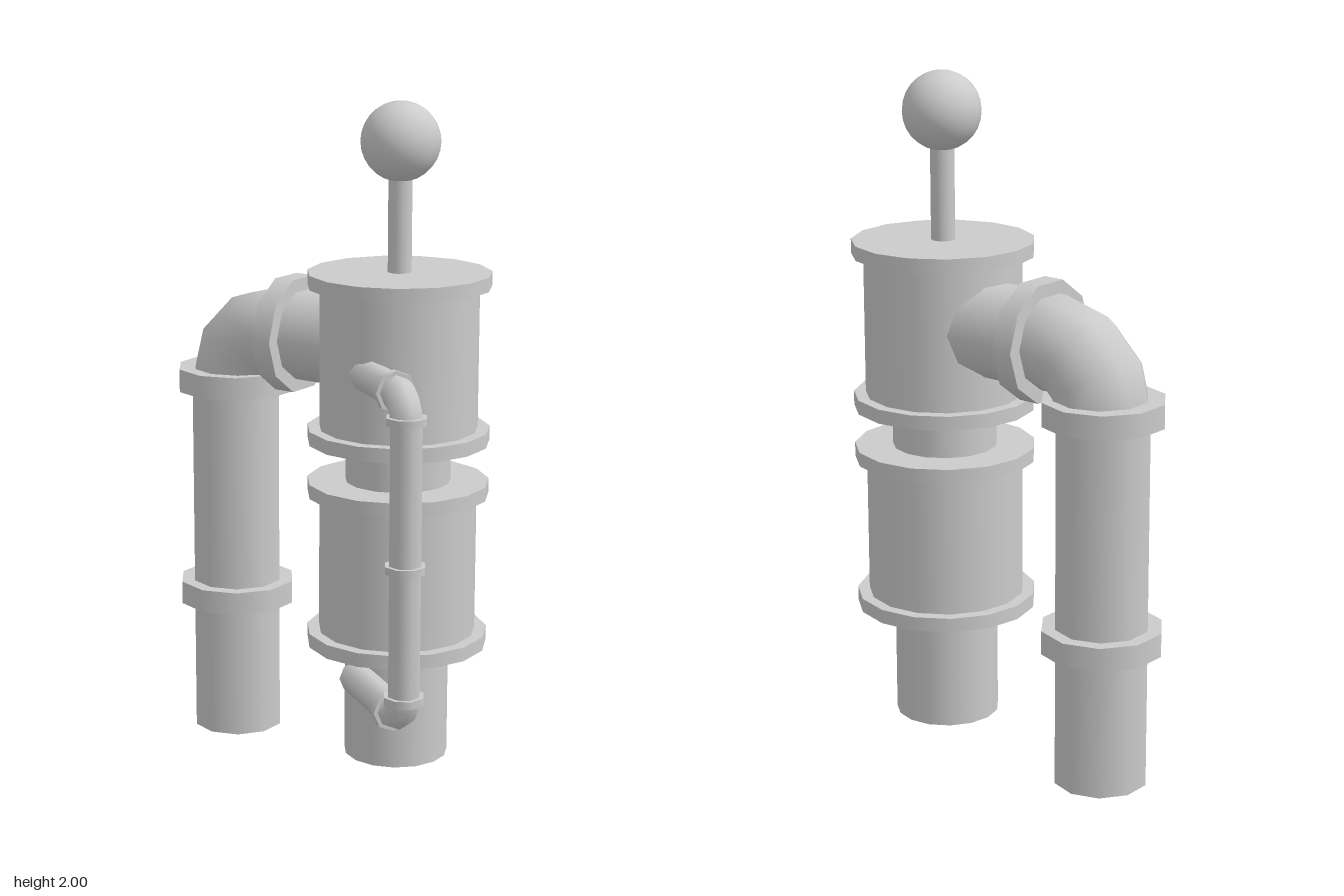
import * as THREE from 'three';

const mat = new THREE.MeshStandardMaterial({ color: 0xcccccc, side: THREE.DoubleSide });

function add(parent, name, geometry, x = 0, y = 0, z = 0) {
  const mesh = new THREE.Mesh(geometry, mat);
  mesh.name = name;
  mesh.position.set(x, y, z);
  parent.add(mesh);
  return mesh;
}

// Upright cylinder between two heights
function upright(parent, name, r, y0, y1, sides, open = false, start = 0) {
  const g = new THREE.CylinderGeometry(r, r, y1 - y0, sides, 1, open, start);
  return add(parent, name, g, 0, (y0 + y1) / 2, 0);
}

// Level cylinder along local x at height y
function level(parent, name, r, x0, x1, y, sides, open = false) {
  const g = new THREE.CylinderGeometry(r, r, x1 - x0, sides, 1, open);
  g.rotateZ(-Math.PI / 2);
  return add(parent, name, g, (x0 + x1) / 2, y, 0);
}

// Straight tube bent through a quarter turn, from +y towards +x
function elbowGeometry(r, bend, sides, steps) {
  const g = new THREE.CylinderGeometry(r, r, 1, sides, steps, true);
  const p = g.attributes.position, n = g.attributes.normal;
  for (let i = 0; i < p.count; i++) {
    const a = (p.getY(i) + 0.5) * Math.PI / 2;
    const c = Math.cos(a), s = Math.sin(a), d = bend - p.getX(i), nx = n.getX(i);
    p.setXYZ(i, bend - d * c, d * s, p.getZ(i));
    n.setXYZ(i, nx * c, -nx * s, n.getZ(i));
  }
  return g;
}

// Group whose local +x points along (dx, dz)
function aimed(parent, name, x, z, dx, dz) {
  const g = new THREE.Group();
  g.name = name;
  g.position.set(x, 0, z);
  g.rotation.y = Math.atan2(-dz, dx);
  parent.add(g);
  return g;
}

export function createModel() {
  const model = new THREE.Group();
  model.name = 'pipeAssembly';

  // Main column: core tube, two drums with flanges, rod and ball
  const column = aimed(model, 'mainColumn', 0.247, -0.063, 1, 0);
  const turn = Math.PI / 2;
  upright(column, 'coreTube', 0.155, 0.05, 1.05, 15, true, turn);
  for (const [name, y0, y1] of [['lowerDrum', 0.395, 0.893], ['upperDrum', 1.01, 1.51]]) {
    upright(column, name, 0.233, y0 + 0.02, y1 - 0.02, 15, true, turn);
    upright(column, name + 'BottomFlange', 0.268, y0, y0 + 0.042, 15, false, turn);
    upright(column, name + 'TopFlange', 0.268, y1 - 0.042, y1, 15, false, turn);
  }
  upright(column, 'rod', 0.035, 1.5, 1.8, 12);
  add(column, 'ball', new THREE.SphereGeometry(0.115, 20, 14), 0, 1.885, 0);

  // Large pipe: rises beside the column and turns into the upper drum
  const large = aimed(model, 'largePipe', -0.342, -0.242, 0.97, 0.24);
  upright(large, 'largeRiser', 0.138, 0, 1.11, 10, true);
  upright(large, 'largeLowerCollar', 0.179, 0.405, 0.475, 10);
  upright(large, 'largeUpperCollar', 0.179, 1.08, 1.15, 10);
  add(large, 'largeElbow', elbowGeometry(0.138, 0.17, 10, 3), 0, 1.11, 0);
  level(large, 'largeInlet', 0.138, 0.17, 0.5, 1.28, 10, true);
  level(large, 'largeInletCollar', 0.178, 0.19, 0.255, 1.28, 10);

  // Small bypass pipe: links the upper drum to the core tube
  const small = aimed(model, 'smallPipe', 0.417, 0.361, -0.66, -0.75);
  const bend = 0.075, yLow = 0.315, yHigh = 1.245;
  upright(small, 'smallRiser', 0.048, yLow + bend, yHigh - bend, 8, true);
  for (const y of [0.378, 0.76, 1.182]) upright(small, 'smallCollar', 0.06, y - 0.011, y + 0.011, 8);
  add(small, 'smallUpperElbow', elbowGeometry(0.048, bend, 8, 4), 0, yHigh - bend, 0);
  add(small, 'smallLowerElbow', elbowGeometry(0.048, bend, 8, 4), 0, yLow + bend, 0).rotation.x = Math.PI;
  for (const [y, end] of [[yLow, 0.38], [yHigh, 0.32]]) {
    level(small, 'smallBranch', 0.048, bend, end, y, 8, true);
    level(small, 'smallBranchCollar', 0.06, 0.076, 0.098, y, 8);
  }

  return model;
}
